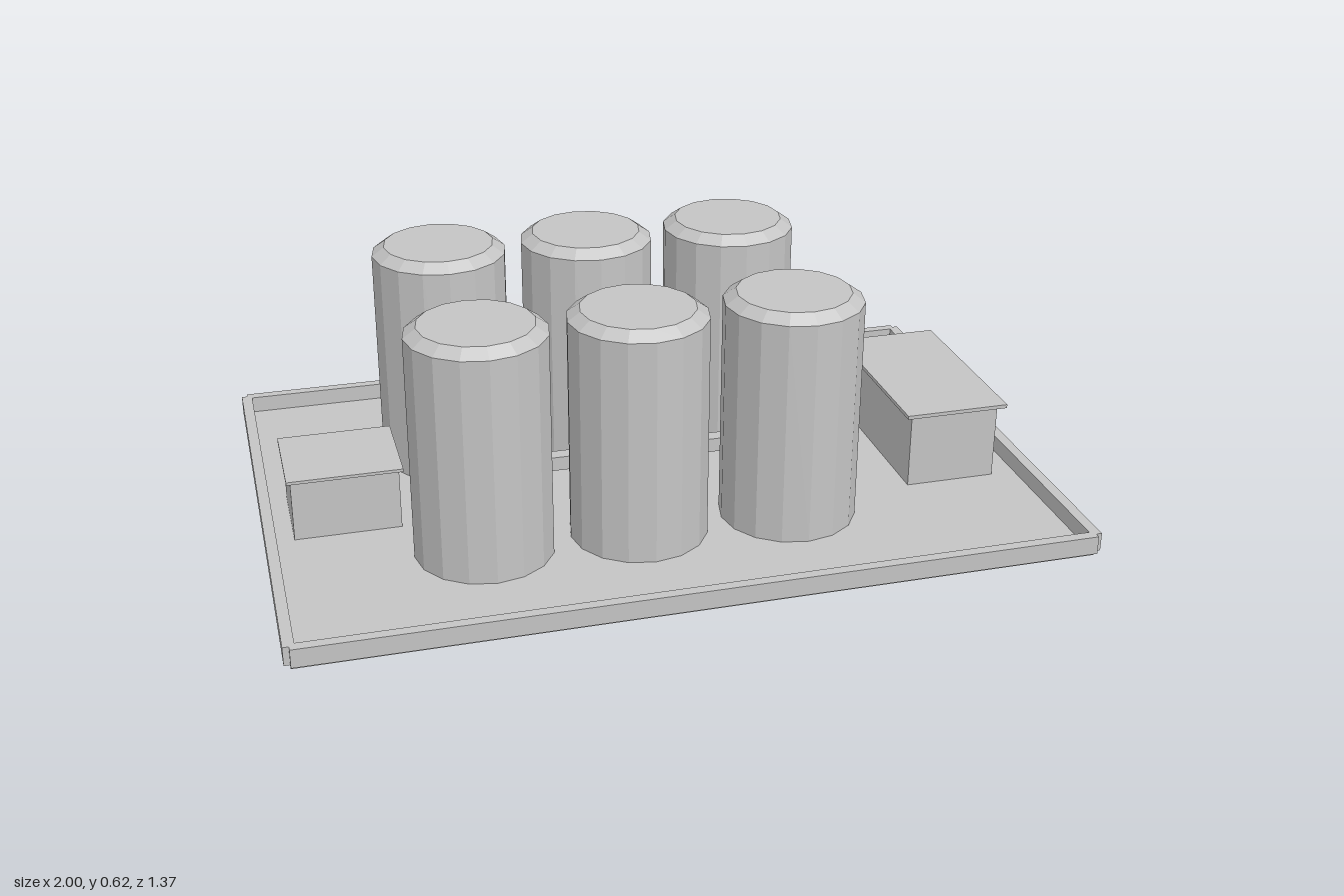
import * as THREE from 'three';

export function createModel() {
  const model = new THREE.Group();
  const grey = new THREE.MeshStandardMaterial({ color: 0xc4c4c4, flatShading: true });
  grey.name = 'light grey';

  const add = (name, geometry, parent = model) => {
    const mesh = new THREE.Mesh(geometry, grey);
    mesh.name = name;
    parent.add(mesh);
    return mesh;
  };
  // Box given by its extents along each axis
  const box = (name, [x0, x1], [y0, y1], [z0, z1], parent) =>
    add(name, new THREE.BoxGeometry(x1 - x0, y1 - y0, z1 - z0), parent)
      .position.set((x0 + x1) / 2, (y0 + y1) / 2, (z0 + z1) / 2);

  // Shallow tray: floor plate and four low rims that leave notched corners
  box('trayFloor', [-0.985, 0.985], [0, 0.016], [-0.668, 0.668]);
  for (const s of [-1, 1]) {
    const side = s > 0 ? [0.972, 1] : [-1, -0.972];
    const end = s > 0 ? [0.657, 0.684] : [-0.684, -0.657];
    box(s > 0 ? 'leftRim' : 'rightRim', side, [0.012, 0.06], [-0.67, 0.67]);
    box(s > 0 ? 'frontRim' : 'backRim', [-0.985, 0.985], [0.012, 0.06], end);
  }

  // Two rows of three tanks with bevelled tops
  const profile = [[0, 0.012], [0.175, 0.012], [0.175, 0.6], [0.143, 0.623], [0, 0.623]]
    .map(([r, y]) => new THREE.Vector2(r, y));
  const tankGeometry = new THREE.LatheGeometry(profile, 16);
  for (const z of [-0.275, 0.275]) {
    for (const x of [-0.473, -0.079, 0.315]) add('tank', tankGeometry).position.set(x, 0, z);
  }

  // Pipe running between the rows
  box('centrePipe', [-0.55, 0.55], [0.07, 0.108], [-0.019, 0.019]);

  // Larger housing with a raised roof plate
  const housing = new THREE.Group();
  housing.name = 'controlHousing';
  model.add(housing);
  box('housingBody', [0.667, 0.907], [0.004, 0.211], [-0.235, 0.235], housing);
  box('housingRoof', [0.648, 0.925], [0.219, 0.229], [-0.255, 0.255], housing);

  // Smaller cabinet with a thin lid
  const cabinet = new THREE.Group();
  cabinet.name = 'pumpCabinet';
  model.add(cabinet);
  box('cabinetBody', [-0.925, -0.655], [0.004, 0.176], [-0.115, 0.115], cabinet);
  box('cabinetLid', [-0.935, -0.645], [0.176, 0.184], [-0.126, 0.126], cabinet);

  return model;
}
